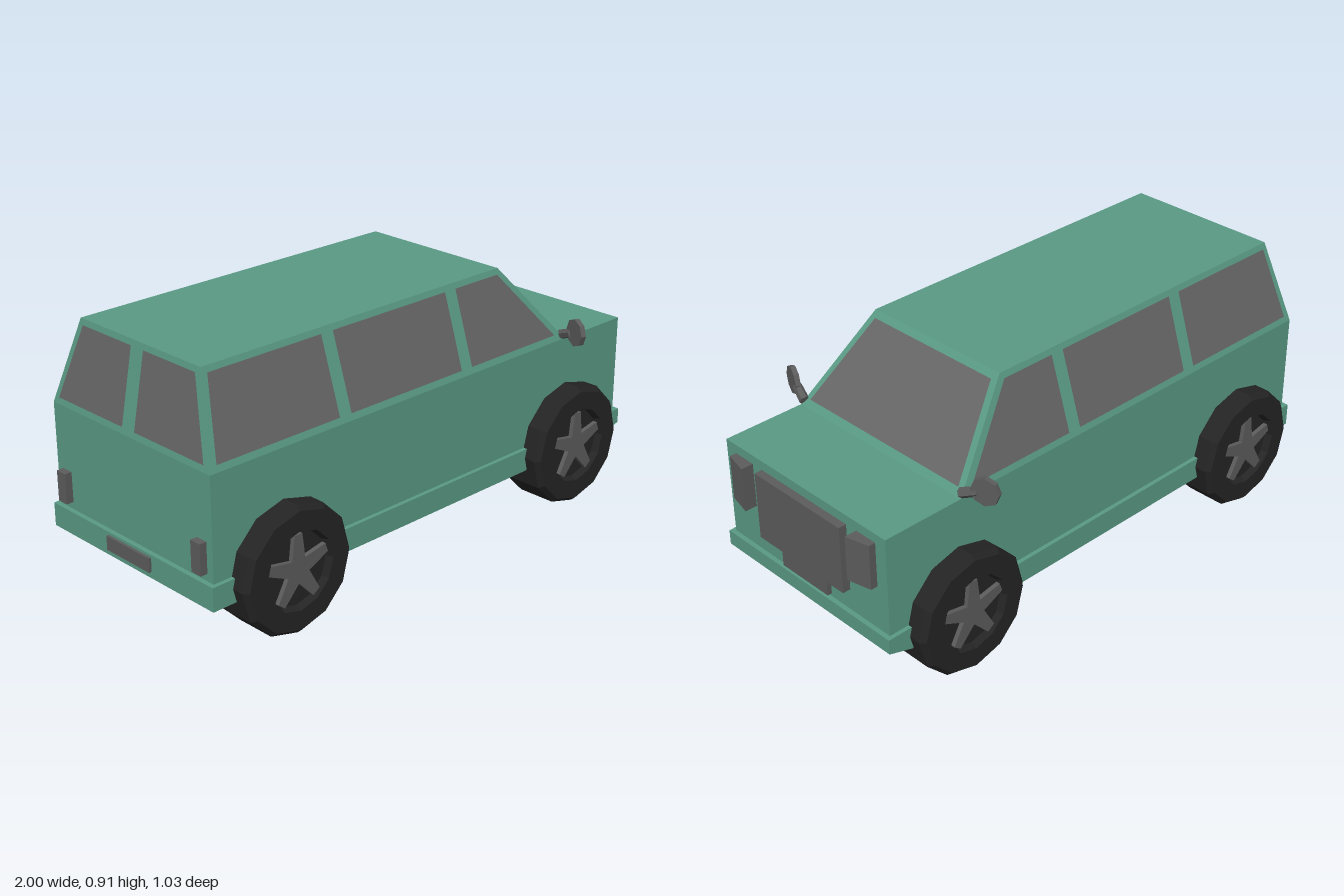
import * as THREE from 'three';

const mat = (color, side = THREE.FrontSide) => {
  const m = new THREE.MeshStandardMaterial({ side, flatShading: true });
  m.color.set(color);
  return m;
};
const paint = mat(0x5a9a84);
const glass = mat(0x666666, THREE.DoubleSide);
const trim = mat(0x5c5c5c);
const rubber = mat(0x242424);

function part(parent, name, geometry, material, x = 0, y = 0, z = 0) {
  const mesh = new THREE.Mesh(geometry, material);
  mesh.name = name;
  mesh.position.set(x, y, z);
  parent.add(mesh);
  return mesh;
}

// Box given by its limits
function block(parent, name, material, x0, x1, y0, y1, z0, z1) {
  return part(parent, name, new THREE.BoxGeometry(x1 - x0, y1 - y0, z1 - z0), material,
    (x0 + x1) / 2, (y0 + y1) / 2, (z0 + z1) / 2);
}

// Shape in the xy plane extruded evenly about z = 0
function slab(points, depth) {
  const shape = new THREE.Shape(points.map(([x, y]) => new THREE.Vector2(x, y)));
  return new THREE.ExtrudeGeometry(shape, { depth, bevelEnabled: false }).translate(0, 0, -depth / 2);
}

// Flat pane from four corners
function pane(parent, name, corners) {
  const g = new THREE.BufferGeometry();
  g.setAttribute('position', new THREE.Float32BufferAttribute(corners.flat(), 3));
  g.setIndex([0, 1, 2, 0, 2, 3]);
  g.computeVertexNormals();
  part(parent, name, g, glass);
}

// Sloping cabin faces at height y
const BELT = 0.62, ROOF = 0.917;
const slope = (a, b, y) => a + (b - a) * (y - BELT) / (ROOF - BELT);
const sideZ = y => slope(0.39, 0.293, y);
const frontX = y => slope(0.65, 0.39, y);
const rearX = y => slope(-0.97, -0.912, y);

function makeCabin() {
  const g = new THREE.BoxGeometry(1, 1, 1);
  const p = g.attributes.position;
  for (let i = 0; i < p.count; i++) {
    const y = p.getY(i) > 0 ? ROOF : BELT;
    p.setXYZ(i, p.getX(i) > 0 ? frontX(y) : rearX(y), y, Math.sign(p.getZ(i)) * sideZ(y));
  }
  g.computeVertexNormals();
  return g;
}

function makeWheel() {
  const wheel = new THREE.Group();
  wheel.name = 'wheel';
  // Twelve-sided tyre with a recessed outer face
  const profile = [[0, -0.09], [0.207, -0.09], [0.223, -0.072], [0.223, 0.072], [0.207, 0.09],
    [0.138, 0.09], [0.128, 0.066], [0, 0.066]].map(([r, y]) => new THREE.Vector2(r, y));
  part(wheel, 'tyre', new THREE.LatheGeometry(profile, 12).rotateX(Math.PI / 2), rubber);
  // Five tapering spokes meeting in a raised hub
  const star = [];
  for (let i = 0; i < 5; i++) {
    const a = Math.PI / 2 + i * Math.PI * 2 / 5;
    for (const [r, d] of [[0.125, -0.13], [0.125, 0.13], [0.046, Math.PI / 5]]) {
      star.push([r * Math.cos(a + d), r * Math.sin(a + d)]);
    }
  }
  const rim = slab(star, 0.02);
  part(wheel, 'spokes', rim, trim, 0, 0, 0.072);
  return wheel;
}

export function createModel() {
  const car = new THREE.Group();
  car.name = 'car';

  // Bodywork
  block(car, 'body', paint, -0.97, 0.955, 0.25, BELT, -0.39, 0.39);
  part(car, 'cabin', makeCabin(), paint);
  part(car, 'sill', slab([[-0.987, 0.177], [0.88, 0.177], [0.972, 0.206], [0.972, 0.26], [-0.987, 0.26]], 0.81), paint);

  // Windscreen and split rear window
  const lo = 0.643, hi = 0.898, gap = 0.003;
  const fx = y => frontX(y) + gap, rx = y => rearX(y) - gap;
  pane(car, 'windscreen', [[fx(lo), lo, 0.36], [fx(lo), lo, -0.36], [fx(hi), hi, -0.275], [fx(hi), hi, 0.275]]);
  for (const s of [1, -1]) {
    pane(car, 'rearWindow', [[rx(lo), lo, s * 0.03], [rx(lo), lo, s * 0.36], [rx(hi), hi, s * 0.275], [rx(hi), hi, s * 0.03]]);
  }

  // Front and rear fittings
  block(car, 'grille', trim, 0.95, 0.984, 0.34, 0.586, -0.208, 0.208);
  block(car, 'frontPlate', trim, 0.95, 0.972, 0.272, 0.327, -0.112, 0.112);
  block(car, 'rearPlate', trim, -0.997, -0.98, 0.2, 0.25, -0.108, 0.108);

  for (const s of [1, -1]) {
    // Side windows: bottom rear, bottom front, top front, top rear
    const z = y => s * (sideZ(y) + gap);
    for (const [a, b, c, d] of [[-0.94, -0.44, -0.44, -0.895], [-0.39, 0.12, 0.12, -0.39], [0.17, 0.598, 0.378, 0.17]]) {
      pane(car, 'sideWindow', [[a, lo, z(lo)], [b, lo, z(lo)], [c, hi, z(hi)], [d, hi, z(hi)]]);
    }

    // Headlight with a swept face, and tail light
    const lamp = slab([[0.95, 0.255], [1, 0.255], [0.98, 0.343], [0.95, 0.343]].map(([x, w]) => [x, -s * w]), 0.162);
    part(car, 'headlight', lamp.rotateX(-Math.PI / 2), trim, 0, 0.506, 0);
    block(car, 'tailLight', trim, -0.996, -0.96, 0.286, 0.394, s * 0.34 - 0.022, s * 0.34 + 0.022);

    // Wheels
    for (const x of [-0.685, 0.665]) {
      const wheel = makeWheel();
      wheel.position.set(x, 0.226, s * 0.374);
      if (s < 0) wheel.rotation.y = Math.PI;
      car.add(wheel);
    }

    // Door mirror on a short arm
    const mirror = new THREE.Group();
    mirror.name = 'mirror';
    const disc = part(mirror, 'mirrorHead', new THREE.CylinderGeometry(0.05, 0.05, 0.018, 8).rotateZ(Math.PI / 2),
      trim, 0.617, 0.67, s * 0.466);
    disc.rotation.y = -s * 0.35;
    const from = new THREE.Vector3(0.642, 0.635, s * 0.38), to = new THREE.Vector3(0.624, 0.66, s * 0.44);
    const arm = part(mirror, 'mirrorArm', new THREE.CylinderGeometry(0.016, 0.018, from.distanceTo(to), 6), trim);
    arm.position.copy(from).lerp(to, 0.5);
    arm.quaternion.setFromUnitVectors(new THREE.Vector3(0, 1, 0), to.clone().sub(from).normalize());
    car.add(mirror);
  }
  return car;
}
